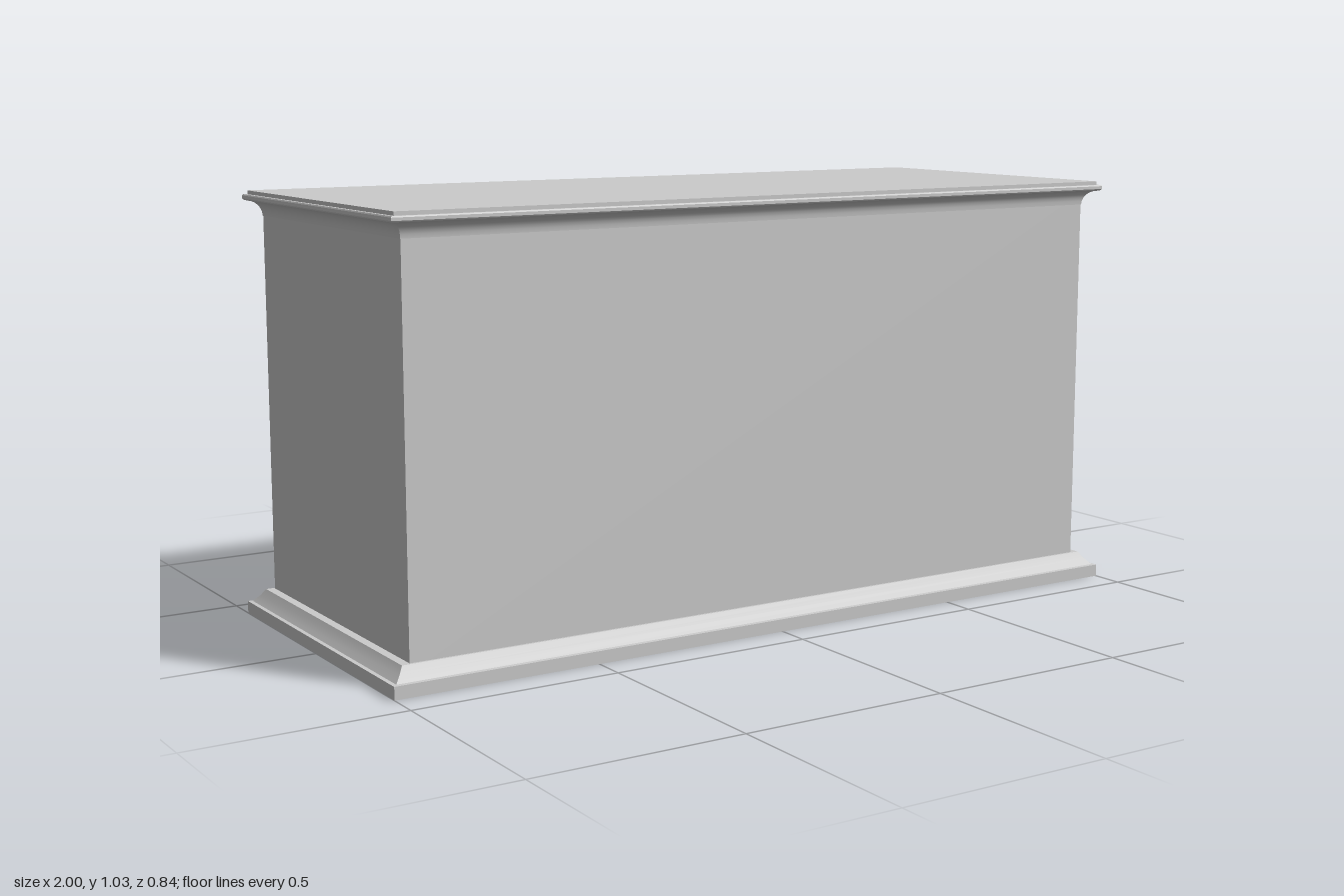
import * as THREE from 'three';
import { toCreasedNormals } from 'three/addons/utils/BufferGeometryUtils.js';

const material = new THREE.MeshStandardMaterial({ color: 0xcccccc });
const BODY_X = 0.945, BODY_Z = 0.38;

// Rectangular moulding: profile of [overhang beyond the body, y], bottom to top, with closed ends.
function moulding(profile) {
  const positions = [];
  const rings = profile.map(([o, y]) => {
    const x = BODY_X + o, z = BODY_Z + o;
    return [[-x, y, z], [x, y, z], [x, y, -z], [-x, y, -z]];
  });
  const quad = (a, b, c, d) => positions.push(...a, ...b, ...c, ...a, ...c, ...d);
  for (let i = 0; i < rings.length - 1; i++) {
    for (let k = 0; k < 4; k++) {
      const n = (k + 1) % 4;
      quad(rings[i][k], rings[i][n], rings[i + 1][n], rings[i + 1][k]);
    }
  }
  const [a, b, c, d] = rings[0];
  quad(d, c, b, a);
  quad(...rings[rings.length - 1]);
  const geometry = new THREE.BufferGeometry();
  geometry.setAttribute('position', new THREE.Float32BufferAttribute(positions, 3));
  return toCreasedNormals(geometry, 0.45);
}

function add(parent, name, geometry, x = 0, y = 0, z = 0) {
  const mesh = new THREE.Mesh(geometry, material);
  mesh.name = name;
  mesh.position.set(x, y, z);
  parent.add(mesh);
  return mesh;
}

// Raised panel with a round knob, on the -z face
const knobGeometry = new THREE.CylinderGeometry(0.0135, 0.0135, 0.028, 8).toNonIndexed();
knobGeometry.rotateY(Math.PI / 8).rotateX(Math.PI / 2);
knobGeometry.computeVertexNormals();

function panel(parent, name, x, width, bottom, top, knobX, knobY) {
  const group = new THREE.Group();
  group.name = name;
  add(group, 'panel', new THREE.BoxGeometry(width, top - bottom, 0.015), x, (top + bottom) / 2, -0.3825);
  add(group, 'knob', knobGeometry, knobX, knobY, -0.403);
  parent.add(group);
}

export function createModel() {
  const model = new THREE.Group();
  model.name = 'sideboard';

  // Carcass
  add(model, 'body', new THREE.BoxGeometry(BODY_X * 2, 0.96, BODY_Z * 2), 0, 0.52, 0);

  // Plinth with sloping top edge
  add(model, 'plinth', moulding([
    [0.04, 0], [0.04, 0.03], [0.031, 0.031], [0.017, 0.046], [0.006, 0.0625],
  ])).scale.x = 2 / (2 * (BODY_X + 0.04));

  // Cornice: hollow cove, projecting lip and top slab
  const cove = [];
  for (let i = 0; i <= 6; i++) {
    const t = (i / 6) * Math.PI / 2;
    cove.push([0.001 + 0.027 * (1 - Math.cos(t)), 0.968 + 0.035 * Math.sin(t)]);
  }
  add(model, 'cornice', moulding([
    ...cove, [0.035, 1.005], [0.037, 1.008], [0.037, 1.015], [0.035, 1.018],
    [0.027, 1.018], [0.027, 1.027],
  ]));

  for (const side of [1, -1]) {
    const label = side > 0 ? 'left' : 'right';
    // Column of five small drawers
    for (let i = 0; i < 5; i++) {
      const bottom = 0.075 + i * 0.1815;
      panel(model, label + 'SmallDrawer' + (i + 1), side * 0.765, 0.25,
        bottom, bottom + 0.157, side * 0.765, bottom + 0.0715);
    }
    // Wide drawer above a door
    panel(model, label + 'WideDrawer', side * 0.283, 0.55, 0.801, 0.958, side * 0.283, 0.873);
    panel(model, label + 'Door', side * 0.282, 0.523, 0.075, 0.772, side * 0.104, 0.465);
  }
  return model;
}
